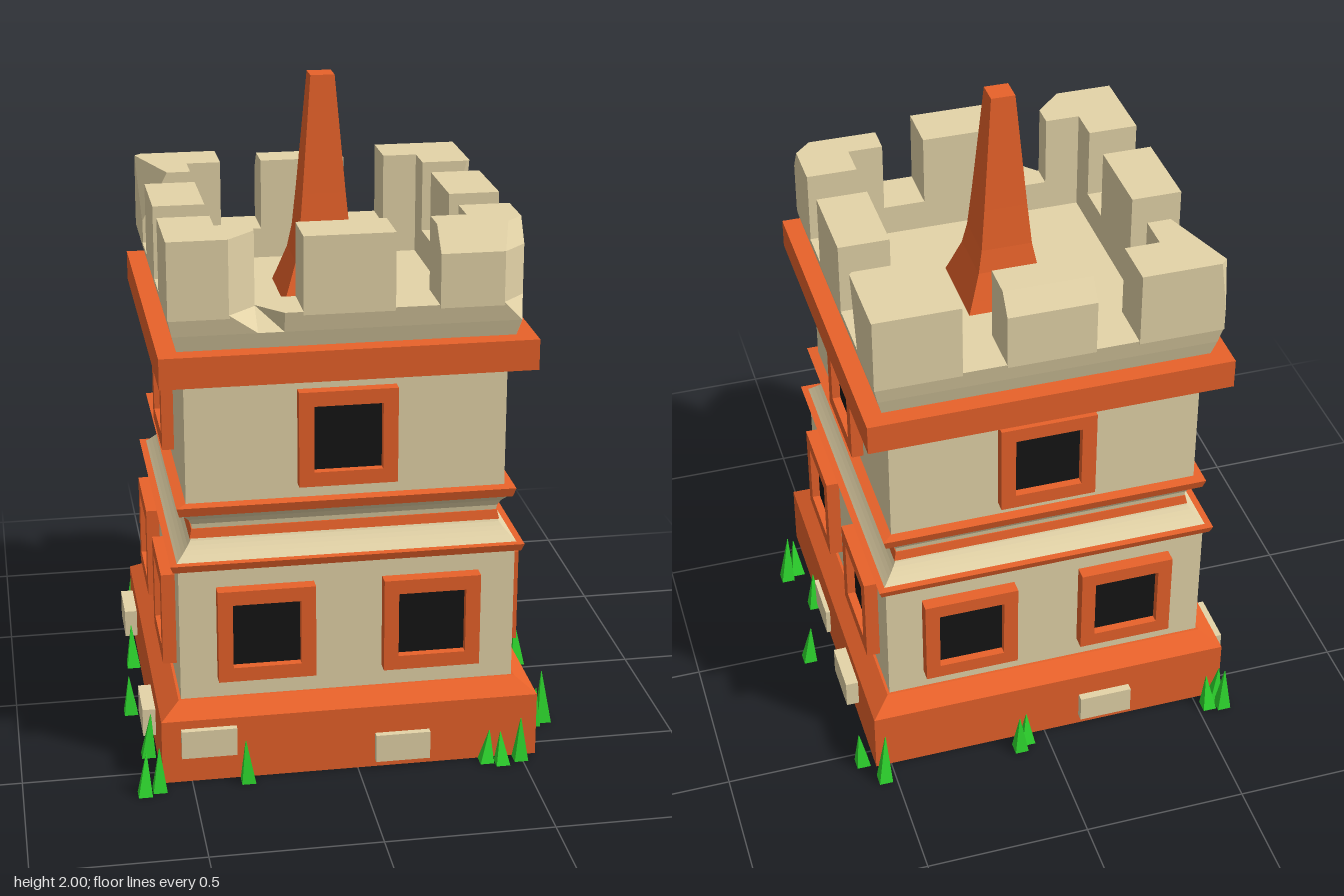
import * as THREE from 'three';

const paint = (color) => new THREE.MeshStandardMaterial({ color, side: THREE.DoubleSide, flatShading: true });
const stone = paint(0xe4d4a8), brick = paint(0xe8622a), dark = paint(0x141414), green = paint(0x2fdc2f);

const square = (h) => [[-h, -h], [h, -h], [h, h], [-h, h]];

// Skin a stack of outlines [y, [[x, z], ...]] with optional end caps
function loft(levels, bottom = true, top = true) {
  const out = [];
  const put = (...ps) => ps.forEach(([y, p]) => out.push(p[0], y, p[1]));
  for (let k = 0; k + 1 < levels.length; k++) {
    const [y0, p] = levels[k], [y1, q] = levels[k + 1];
    p.forEach((a, i) => {
      const j = (i + 1) % p.length;
      put([y0, a], [y1, q[j]], [y0, p[j]], [y0, a], [y1, q[i]], [y1, q[j]]);
    });
  }
  const cap = ([y, pts], up) => {
    const tris = THREE.ShapeUtils.triangulateShape(pts.map((p) => new THREE.Vector2(...p)), []);
    for (const t of tris) {
      const [a, b, c] = t.map((i) => pts[i]);
      const ccw = (b[0] - a[0]) * (c[1] - a[1]) - (b[1] - a[1]) * (c[0] - a[0]) > 0;
      put(...(ccw === up ? [a, c, b] : [a, b, c]).map((p) => [y, p]));
    }
  };
  if (bottom) cap(levels[0], false);
  if (top) cap(levels[levels.length - 1], true);
  const g = new THREE.BufferGeometry();
  g.setAttribute('position', new THREE.Float32BufferAttribute(out, 3));
  g.computeVertexNormals();
  return g;
}

function add(parent, name, geometry, material, x = 0, y = 0, z = 0) {
  const m = new THREE.Mesh(geometry, material);
  m.name = name;
  m.position.set(x, y, z);
  parent.add(m);
  return m;
}

// Square tier from [halfWidth, y] pairs
const tier = (parent, name, mat, profile, bottom, top) =>
  add(parent, name, loft(profile.map(([h, y]) => [y, square(h)]), bottom, top), mat);

const rectShape = (h, Type) => new Type(square(h).map((p) => new THREE.Vector2(...p)));

// Framed window whose outer face lies at z = out
function addWindow(parent, x, y, out) {
  const s = rectShape(0.145, THREE.Shape);
  s.holes.push(rectShape(0.101, THREE.Path));
  const depth = 0.06;
  add(parent, 'windowFrame', new THREE.ExtrudeGeometry(s, { depth, bevelEnabled: false }), brick, x, y, out - depth);
  add(parent, 'windowPane', new THREE.BoxGeometry(0.205, 0.205, 0.03), dark, x, y, out - 0.04);
}

const O = 0.517, E = 0.26, N = 0.365; // parapet outer, merlon end, parapet inner

// L-shaped corner merlon; a, b, c chip its outer corners, dx and dz pull the outer faces in
function addCorner(parent, sx, sz, levels) {
  const geo = loft(levels.map(([y, a = 0, b = 0, c = 0, dx = 0, dz = 0]) => {
    [a, b, c] = [a, b, c].map((v) => Math.max(v, 0.001));
    const X = O - dx, Z = O - dz;
    const pts = [[N, E], [X - a, E], [X, E + a], [O, Z - b], [O - b, Z], [E + c, Z], [E, Z - c], [E, N], [N, N]]
      .map(([x, z]) => [x * sx, z * sz]);
    return [y, sx * sz < 0 ? pts.reverse() : pts];
  }));
  add(parent, 'cornerMerlon', geo, stone);
}

// Parapet outline with a chipped front corner and a dent in the front edge
const parapet = (h, chip = 0.001, dent = 0) =>
  [[-h, -h], [h, -h], [h, h - chip], [h - chip, h], [-0.185, h], [-E, h - dent], [-0.343, h], [-h, h]];

export function createModel() {
  const model = new THREE.Group();
  model.name = 'castleTower';
  const tower = new THREE.Group();
  tower.name = 'tower';
  tower.position.x = -0.02;
  model.add(tower);

  // Hollow plinth with a recessed cross-shaped underside
  tier(tower, 'plinth', brick, [[0.46, 0.2], [0.56, 0.2], [0.56, 0], [0.568, 0], [0.568, 0.2], [0.51, 0.24], [0.46, 0.24]], false, false);
  const p = 0.41, q = 0.25, r = 0.1, under = 0.29;
  const cross = new THREE.Shape([[q, p], [-q, p], [-q, q], [-p, q], [-p, -q], [-q, -q], [-q, -p], [q, -p], [q, -q], [p, -q], [p, q], [q, q]]
    .map((v) => new THREE.Vector2(...v)));
  cross.holes.push(rectShape(r, THREE.Path));
  add(tower, 'underside', new THREE.ShapeGeometry(cross), brick, 0, under).rotation.x = Math.PI / 2;
  tier(tower, 'undersideRecess', brick, [[r, under], [0.04, 0.48]], false, true);

  // Walls, mouldings and cornice
  tier(tower, 'lowerWall', stone, [[0.47, 0.3], [0.47, 0.22], [0.502, 0.22], [0.502, 0.66]], true, false);
  tier(tower, 'lowerTrim', brick, [[0.49, 0.653], [0.518, 0.655], [0.526, 0.678], [0.49, 0.68]]);
  const cove = [];
  for (let i = 0; i <= 6; i++) {
    const t = i / 6;
    cove.push([0.456 + 0.054 * (1 - t) ** 1.3, 0.675 + 0.065 * t]);
  }
  tier(tower, 'lowerCove', stone, cove);
  tier(tower, 'waistBand', brick, [[0.45, 0.735], [0.462, 0.737], [0.456, 0.765], [0.44, 0.767]]);
  tier(tower, 'upperCove', stone, [[0.453, 0.76], [0.456, 0.78], [0.465, 0.798], [0.485, 0.82]]);
  tier(tower, 'upperTrim', brick, [[0.485, 0.818], [0.494, 0.82], [0.502, 0.848], [0.47, 0.852]]);
  tier(tower, 'upperWall', stone, [[0.472, 0.845], [0.472, 1.24]]);
  tier(tower, 'cornice', brick, [[0.547, 1.23], [0.547, 1.322]]);
  add(tower, 'parapet', loft([[1.322, parapet(0.491)], [1.37, parapet(0.504)], [1.43, parapet(O, 0.07, 0.085)],
    [1.43, parapet(N)], [1.335, parapet(N)]]), stone);

  // Corner merlons with broken edges
  addCorner(tower, -1, 1, [[1.42, 0, 0, 0.083], [1.65, 0, 0, 0.083]]);
  addCorner(tower, 1, 1, [[1.42, 0, 0.07], [1.58, 0, 0.07], [1.65, 0, 0.05, 0, 0, 0.065]]);
  addCorner(tower, -1, -1, [[1.42], [1.5], [1.65, 0, 0.02, 0, 0.08]]);
  addCorner(tower, 1, -1, [[1.42, 0.07], [1.65, 0.01]]);

  // Windows, middle merlons and loose stones on each face; stones are [x, y, reach]
  const stones = [
    [[-0.428, 0.13, 0.588], [0.155, 0.068, 0.588]],
    [[0.272, 0.117, 0.607], [-0.12, 0.068, 0.582]],
    [[0.175, 0.08, 0.592]],
    [[-0.39, 0.11, 0.607], [0.28, 0.095, 0.607]],
  ];
  stones.forEach((list, i) => {
    const face = new THREE.Group();
    face.name = ['frontFace', 'leftFace', 'backFace', 'rightFace'][i];
    face.rotation.y = i * Math.PI / 2;
    tower.add(face);
    for (const s of [-1, 1]) addWindow(face, s * 0.247, 0.45, 0.543);
    addWindow(face, 0, 1.04, 0.508);
    const block = (y, z) => [y, [[-0.132, N], [0.132, N], [0.132, z], [-0.132, z]]];
    add(face, 'middleMerlon', loft([block(1.42, O), block(1.59, O), block(1.65, i === 2 ? 0.47 : O)]), stone);
    for (const [x, y, reach] of list) {
      const depth = reach - 0.562;
      add(face, 'looseStone', new THREE.BoxGeometry(0.165, 0.088, depth), stone, x, y, reach - depth / 2);
    }
  });

  // Flared spire
  tier(tower, 'spire', brick, [[0.131, 1.335], [0.118, 1.37], [0.09, 1.45], [0.077, 1.52], [0.065, 1.65], [0.036, 2]]);

  // Grass blades: [x, z, height]
  const blades = [
    [-0.58, -0.625, 0.15], [-0.535, -0.615, 0.12], [-0.565, -0.59, 0.13], [0.095, -0.62, 0.14], [0.065, -0.595, 0.11],
    [0.535, -0.625, 0.17], [0.585, -0.54, 0.13], [-0.61, -0.22, 0.14], [-0.645, 0.107, 0.13], [-0.615, 0.39, 0.14],
    [0.64, -0.04, 0.14], [0.565, 0.205, 0.14], [0.585, 0.385, 0.13], [0.625, 0.365, 0.17], [-0.645, 0.625, 0.13],
    [-0.6, 0.607, 0.14], [-0.335, 0.595, 0.14], [0.39, 0.59, 0.1], [0.435, 0.61, 0.1], [0.495, 0.592, 0.14],
  ];
  blades.forEach(([x, z, h], i) => {
    const tip = square(0.001).map(([a, b]) => [a + 0.01 * Math.sin(i * 2.3), b - 0.012 * Math.sin(i * 1.7 + 3)]);
    add(model, 'grassBlade', loft([[0, square(0.021)], [h, tip]]), green, x, 0, z);
  });
  return model;
}
